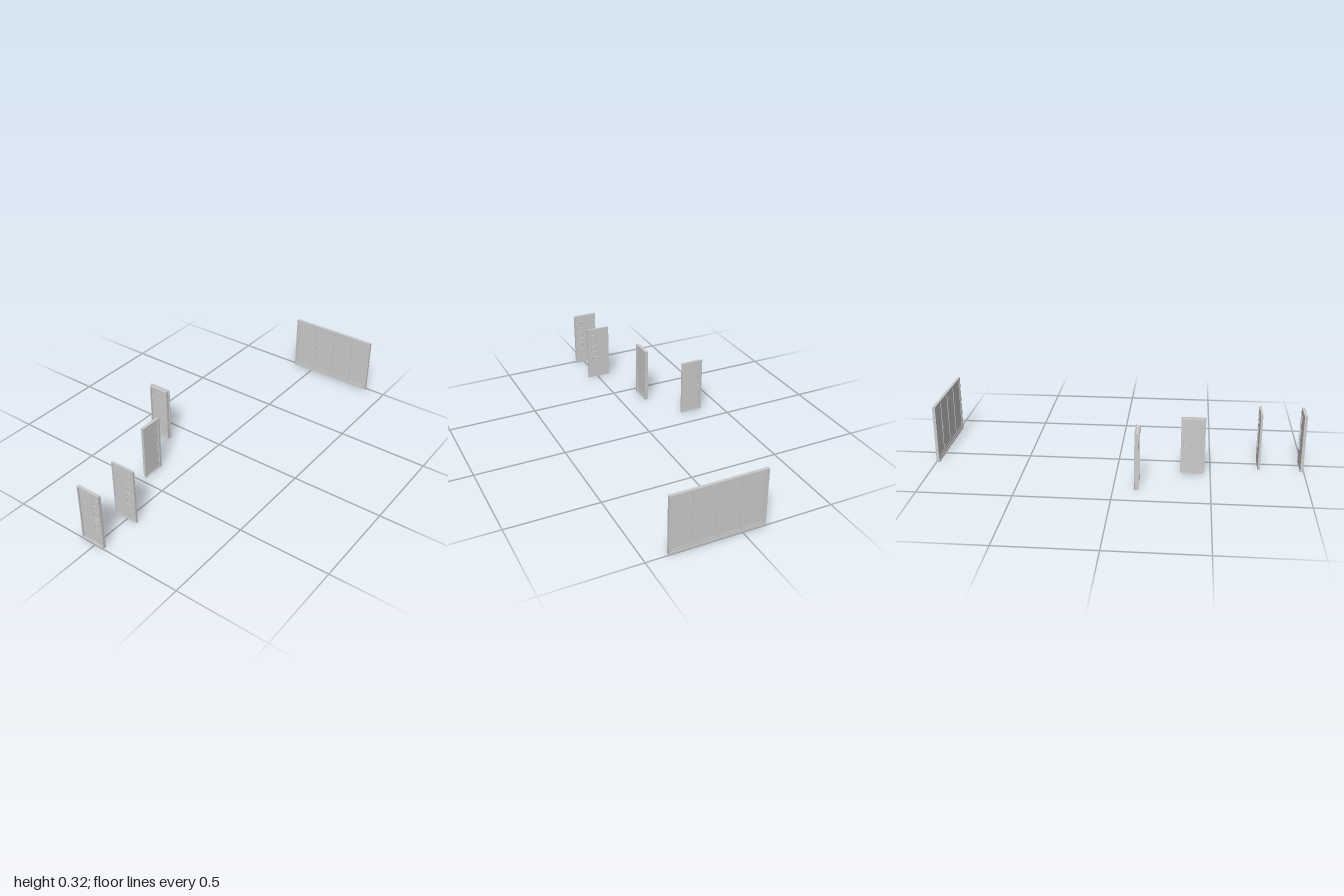
import * as THREE from 'three';

const mat = new THREE.MeshStandardMaterial({ color: 0xcccccc });

function add(parent, name, geometry, x = 0, y = 0, z = 0) {
  const m = new THREE.Mesh(geometry, mat);
  m.name = name;
  m.position.set(x, y, z);
  parent.add(m);
  return m;
}

function group(parent, name, x = 0, y = 0, z = 0) {
  const g = new THREE.Group();
  g.name = name;
  g.position.set(x, y, z);
  parent.add(g);
  return g;
}

const box = (w, h, d) => new THREE.BoxGeometry(w, h, d);

// Board from [x0, y0, x1, y1] with rectangular holes, from z = 0 to z = depth
function board(rect, holes, depth, bevel = 0) {
  const corners = ([x0, y0, x1, y1]) => [[x0, y0], [x1, y0], [x1, y1], [x0, y1]].map(p => new THREE.Vector2(...p));
  const shape = new THREE.Shape(corners(rect));
  for (const h of holes) shape.holes.push(new THREE.Path(corners(h).reverse()));
  return new THREE.ExtrudeGeometry(shape, {
    depth, bevelEnabled: bevel > 0, bevelSize: bevel, bevelThickness: bevel, bevelOffset: -bevel, bevelSegments: 1,
  });
}

// Lever handles on both faces of a leaf lying between zBack and zFront
function handles(parent, x, y, zBack, zFront, dir, length, plateHeight = 0) {
  for (const [z, s] of [[zFront, 1], [zBack, -1]]) {
    const g = group(parent, 'handle', x, y, z);
    if (plateHeight) add(g, 'handlePlate', box(0.006, plateHeight, 0.001), 0, 0, s * 0.0005);
    else {
      const rose = new THREE.CylinderGeometry(0.004, 0.004, 0.001, 16).rotateX(Math.PI / 2);
      add(g, 'handleRose', rose, 0, 0, s * 0.0005);
    }
    add(g, 'handleNeck', new THREE.CylinderGeometry(0.0015, 0.0015, 0.006, 10).rotateX(Math.PI / 2), 0, 0, s * 0.003);
    add(g, 'handleLever', new THREE.CapsuleGeometry(0.0016, length, 4, 10).rotateZ(Math.PI / 2), dir * length / 2, 0, s * 0.006);
  }
}

// Entrance door with three small windows; its depth runs from z = 0 to 0.016
function entranceDoor(parent, name, x, z, sill, pullBar) {
  const g = group(parent, name, x, 0, z);
  const w = 0.0685;
  add(g, 'doorFrame', board([-w, 0, w, 0.32], [[-w + 0.006, 0.007, w - 0.006, 0.314]], sill ? 0.016 : 0.012));
  const cx = 0.034 + (pullBar ? 0 : -0.004);
  const windows = [0.117, 0.19, 0.263].map(y => [cx - 0.016, y - 0.019, cx + 0.016, y + 0.019]);
  add(g, 'doorLeaf', board([-w + 0.006, 0.007, w - 0.006, 0.314], windows, 0.009));
  // Bevelled trims and panes
  for (const [x0, y0, x1, y1] of windows) {
    const inner = [x0 + 0.002, y0 + 0.002, x1 - 0.002, y1 - 0.002];
    const outer = [x0 - 0.002, y0 - 0.002, x1 + 0.002, y1 + 0.002];
    add(g, 'windowTrimBack', board(outer, [inner], 0.003, 0.0008), 0, 0, -0.003);
    add(g, 'windowTrimFront', board(outer, [inner], 0.0012, 0.0005), 0, 0, 0.0085);
    add(g, 'windowPane', box(x1 - x0, y1 - y0, 0.002), (x0 + x1) / 2, (y0 + y1) / 2, 0.0045);
  }
  handles(g, 0.057, 0.165, 0, 0.009, -1, 0.018);
  // Slim horizontal pull on both faces
  if (pullBar) for (const zz of [-0.002, 0.011]) add(g, 'pullBar', box(0.075, 0.003, 0.002), 0.017, 0.165, zz);
  // Doorstep
  if (sill) add(g, 'doorSill', box(2 * w, 0.004, 0.019), 0, 0.002, 0.0085);
  return g;
}

// Interior door: wide casing at the back, deep lining and a recessed leaf
function interiorDoor(parent, name, x, z, turn) {
  const g = group(parent, name, x, 0, z);
  g.rotation.y = turn;
  const w = 0.0645, lining = 0.0575, inner = 0.052;
  add(g, 'casing', board([-w, 0, w, 0.316], [[-inner, 0.003, inner, 0.305]], 0.004), 0, 0, -0.011);
  add(g, 'lining', board([-lining, 0, lining, 0.311], [[-inner, 0.003, inner, 0.305]], 0.018), 0, 0, -0.007);
  // Leaf with a shallow inset panel
  const opening = [-inner, 0.003, inner, 0.305];
  add(g, 'doorLeafFrame', board(opening, [[-0.042, 0.02, 0.042, 0.29]], 0.009), 0, 0, -0.005);
  add(g, 'doorLeafPanel', box(0.084, 0.27, 0.006), 0, 0.155, -0.0005);
  handles(g, -0.045, 0.155, -0.005, 0.004, 1, 0.016);
  return g;
}

// Wide patio door: outer frame and four glazed panels
function patioDoor(parent) {
  const g = group(parent, 'patioDoor', 0.129, 0, -1);
  const w = 0.254, inner = 0.2485, pw = inner / 2;
  add(g, 'patioFrame', board([-w, 0, w, 0.32], [[-inner, 0.012, inner, 0.316]], 0.016));
  add(g, 'patioSill', box(2 * w, 0.003, 0.019), 0, 0.0015, 0.0095);
  for (let i = 0; i < 4; i++) {
    const p = group(g, 'patioPanel', -inner + pw * (i + 0.5), 0, 0.003);
    const h = pw / 2;
    add(p, 'panelFrame', board([-h, 0.012, h, 0.316], [[-h + 0.011, 0.024, h - 0.011, 0.304]], 0.01));
    add(p, 'panelPane', box(pw - 0.022, 0.28, 0.004), 0, 0.164, 0.005);
  }
  handles(g, -inner + pw - 0.006, 0.16, 0.003, 0.013, -1, 0.014, 0.026);
  return g;
}

export function createModel() {
  const model = new THREE.Group();
  model.name = 'doorSet';
  patioDoor(model);
  entranceDoor(model, 'frontEntranceDoor', -0.0165, 0.981, true, true);
  entranceDoor(model, 'rearEntranceDoor', -0.0115, 0.755, false, false);
  interiorDoor(model, 'sideInteriorDoor', -0.146, 0.404, -Math.PI / 2);
  interiorDoor(model, 'frontInteriorDoor', -0.3205, 0.12, 0);
  return model;
}
